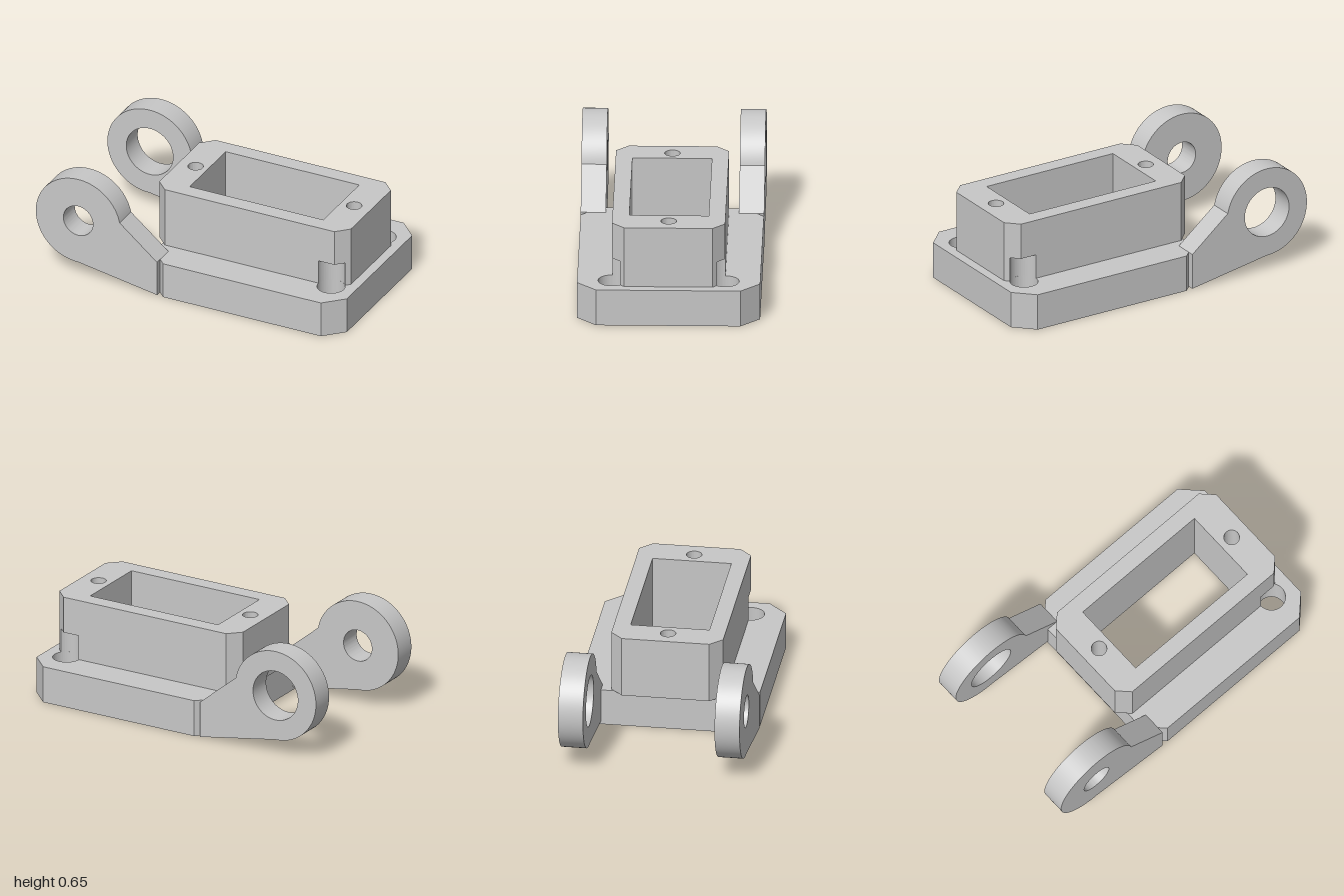
import * as THREE from 'three';
import { toCreasedNormals } from 'three/addons/utils/BufferGeometryUtils.js';

const HALF_PI = Math.PI / 2;

export function createModel() {
  const model = new THREE.Group();
  const grey = new THREE.MeshStandardMaterial({ color: 0xc7c7c7 });
  grey.name = 'plain grey';

  const polygon = (pts) => new THREE.Shape(pts.map(([x, y]) => new THREE.Vector2(x, y)));
  const circle = (x, y, r) => new THREE.Path().absarc(x, y, r, 0, Math.PI * 2, true);

  // Outlines run counter-clockwise, holes clockwise
  function extrude(name, shape, depth) {
    const geo = new THREE.ExtrudeGeometry(shape, { depth, bevelEnabled: false, curveSegments: 40 });
    const mesh = new THREE.Mesh(toCreasedNormals(geo, 0.4), grey);
    mesh.name = name;
    model.add(mesh);
    return mesh;
  }

  // Horizontal slab from a plan outline, between heights y0 and y1
  function slab(name, shape, y0, y1) {
    const mesh = extrude(name, shape, y1 - y0);
    mesh.rotation.x = -HALF_PI;
    mesh.position.y = y0;
  }

  // Rectangle with chamfered corners
  const chamfered = (x0, x1, h, c) => polygon([
    [x0 + c, -h], [x1 - c, -h], [x1, -h + c], [x1, h - c],
    [x1 - c, h], [x0 + c, h], [x0, h - c], [x0, -h + c],
  ]);

  // Central window and two small screw holes, shared by every slab
  const addCoreHoles = (shape) => {
    shape.holes.push(
      new THREE.Path([[-0.137, -0.235], [-0.137, 0.235], [0.747, 0.235], [0.747, -0.235]]
        .map(([x, y]) => new THREE.Vector2(x, y))),
      circle(-0.217, 0, 0.046), circle(0.832, 0, 0.046));
    return shape;
  };

  // Bolt holes near the +x corners
  const bolt = { x: 0.849, z: 0.334, r: 0.083 };

  // Base plate
  const base = addCoreHoles(chamfered(-0.272, 1, 0.541, 0.114));
  base.holes.push(circle(bolt.x, bolt.z, bolt.r), circle(bolt.x, -bolt.z, bolt.r));
  slab('basePlate', base, 0, 0.225);

  // Lower frame, notched to clear the bolts; the arcs end on the corner chamfers
  const arcEnd = 0.606;
  const notched = new THREE.Shape();
  notched.moveTo(-0.325, -0.261);
  notched.lineTo(-0.252, -0.334);
  notched.absarc(bolt.x, -bolt.z, bolt.r, Math.PI, arcEnd, true);
  notched.lineTo(0.943, -0.261);
  notched.lineTo(0.943, 0.261);
  notched.absarc(bolt.x, bolt.z, bolt.r, -arcEnd, -Math.PI, true);
  notched.lineTo(-0.252, 0.334);
  notched.lineTo(-0.325, 0.261);
  slab('lowerFrame', addCoreHoles(notched), 0.225, 0.376);

  // Upper frame
  slab('upperFrame', addCoreHoles(chamfered(-0.325, 0.943, 0.334, 0.073)), 0.376, 0.6);

  // Hinge arms: the rear eye has the larger bore
  function hingeArm(name, z, bore) {
    const cx = -0.72, cy = 0.374, r = 0.28;
    const shape = new THREE.Shape();
    shape.moveTo(-0.198, 0.004);
    shape.lineTo(-0.198, 0.225);
    shape.absarc(cx, cy, r, 0.2, Math.PI * 1.5, false);
    shape.holes.push(circle(cx, cy, bore));
    extrude(name, shape, 0.149).position.z = z;
  }
  hingeArm('frontHingeArm', 0.393, 0.098);
  hingeArm('rearHingeArm', -0.542, 0.155);

  return model;
}
